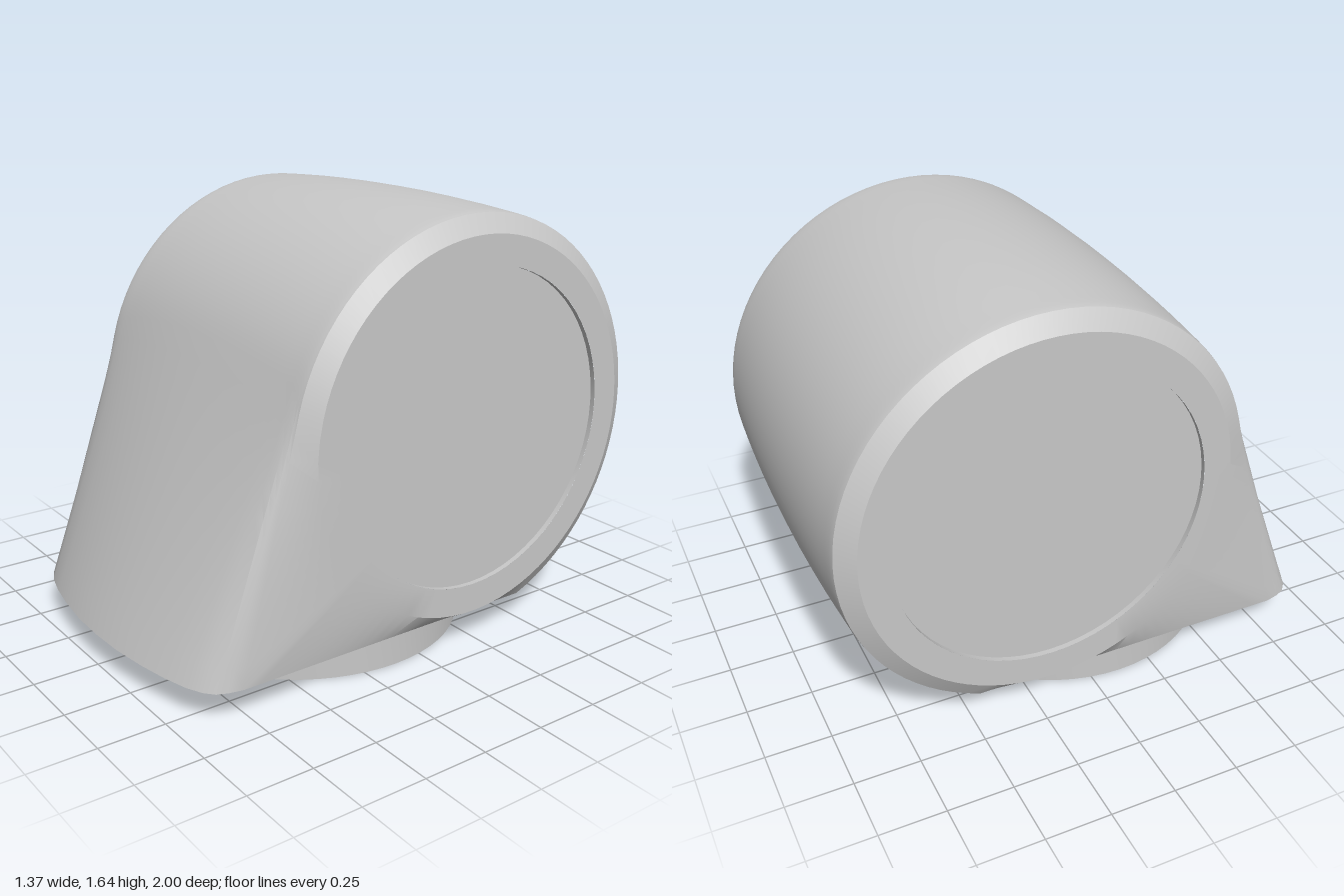
import * as THREE from 'three';
import { toCreasedNormals } from 'three/addons/utils/BufferGeometryUtils.js';

const CY = 0.845, CZ = -0.2;   // axis of the round housing
const FLOOR = 0.12;            // height of the flat underside
const DROP = CY - FLOOR;
const HALF = 0.685, RIM = 0.705, INSET = 0.595;

// Teardrop outline [z, y]: round arc, flat underside to the tip, straight front
function outline(r, tipZ) {
  const tip = Math.atan2(-DROP, tipZ - CZ);
  const tangent = tip + Math.acos(r / Math.hypot(tipZ - CZ, DROP));
  const end = Math.PI + Math.asin(DROP / r);
  const at = (a) => [CZ + r * Math.cos(a), CY + r * Math.sin(a)];
  const pts = [];
  for (let i = 0; i < 56; i++) pts.push(at(tangent + (end - tangent) * i / 56));
  const [endZ] = at(end);
  for (let i = 0; i < 20; i++) pts.push([endZ + (tipZ - endZ) * i / 20, FLOOR]);
  const [tz, ty] = at(tangent);
  for (let i = 0; i < 12; i++) {
    pts.push([tipZ + (tz - tipZ) * i / 12, FLOOR + (ty - FLOOR) * i / 12]);
  }
  return pts;
}

// Circle matched point by point to an outline
function circle(r, ref) {
  return ref.map(([z, y]) => {
    const a = Math.atan2(y - CY, z - CZ);
    return [CZ + r * Math.cos(a), CY + r * Math.sin(a)];
  });
}

// Crowned body lofted across its width, with chamfered round sides
function bodyGeometry() {
  // half-width, radius, tip position
  const half = [
    [0, 0.8, 1], [0.15, 0.799, 0.995], [0.3, 0.795, 0.977], [0.42, 0.79, 0.955],
    [0.52, 0.784, 0.928], [0.58, 0.78, 0.9], [0.615, 0.778, 0.87],
    [0.632, 0.776, 0.83], [0.643, 0.774, 0.78],
  ].map(([x, r, tip]) => ({ x, pts: outline(r, tip) }));
  const last = half[half.length - 1].pts;
  half.push({ x: HALF, pts: circle(RIM, last) });
  half.push({ x: HALF, pts: circle(INSET, last) });
  const levels = [
    ...half.slice(1).reverse().map(({ x, pts }) => ({ x: -x, pts })),
    ...half,
  ];
  const n = last.length, pos = [], index = [];
  for (const { x, pts } of levels) for (const [z, y] of pts) pos.push(x, y, z);
  for (let i = 0; i < levels.length - 1; i++) {
    for (let j = 0; j < n; j++) {
      const a = i * n + j, b = i * n + (j + 1) % n;
      index.push(a, a + n, b, b, a + n, b + n);
    }
  }
  const g = new THREE.BufferGeometry();
  g.setAttribute('position', new THREE.Float32BufferAttribute(pos, 3));
  g.setIndex(index);
  return toCreasedNormals(g, 0.45);
}

function lathe(points) {
  const g = new THREE.LatheGeometry(points.map(([r, h]) => new THREE.Vector2(r, h)), 64);
  return toCreasedNormals(g, 0.45);
}

export function createModel() {
  const model = new THREE.Group();
  const grey = new THREE.MeshStandardMaterial({ color: 0xc8c8c8 });
  grey.name = 'light grey';
  const add = (name, geometry) => {
    const mesh = new THREE.Mesh(geometry, grey);
    mesh.name = name;
    model.add(mesh);
    return mesh;
  };

  add('body', bodyGeometry());

  // Shallow recessed disc in each side
  for (const s of [1, -1]) {
    const disc = add(s > 0 ? 'leftDisc' : 'rightDisc',
      lathe([[INSET, HALF], [INSET, HALF - 0.02], [0, HALF - 0.02]]));
    disc.rotation.z = -s * Math.PI / 2;
    disc.position.set(0, CY, CZ);
  }

  // Round base collar with a recessed underside
  const collar = add('baseCollar',
    lathe([[0, 0.06], [0.612, 0.06], [0.612, 0], [0.632, 0], [0.632, FLOOR + 0.01]]));
  collar.position.z = 0.115;

  return model;
}
